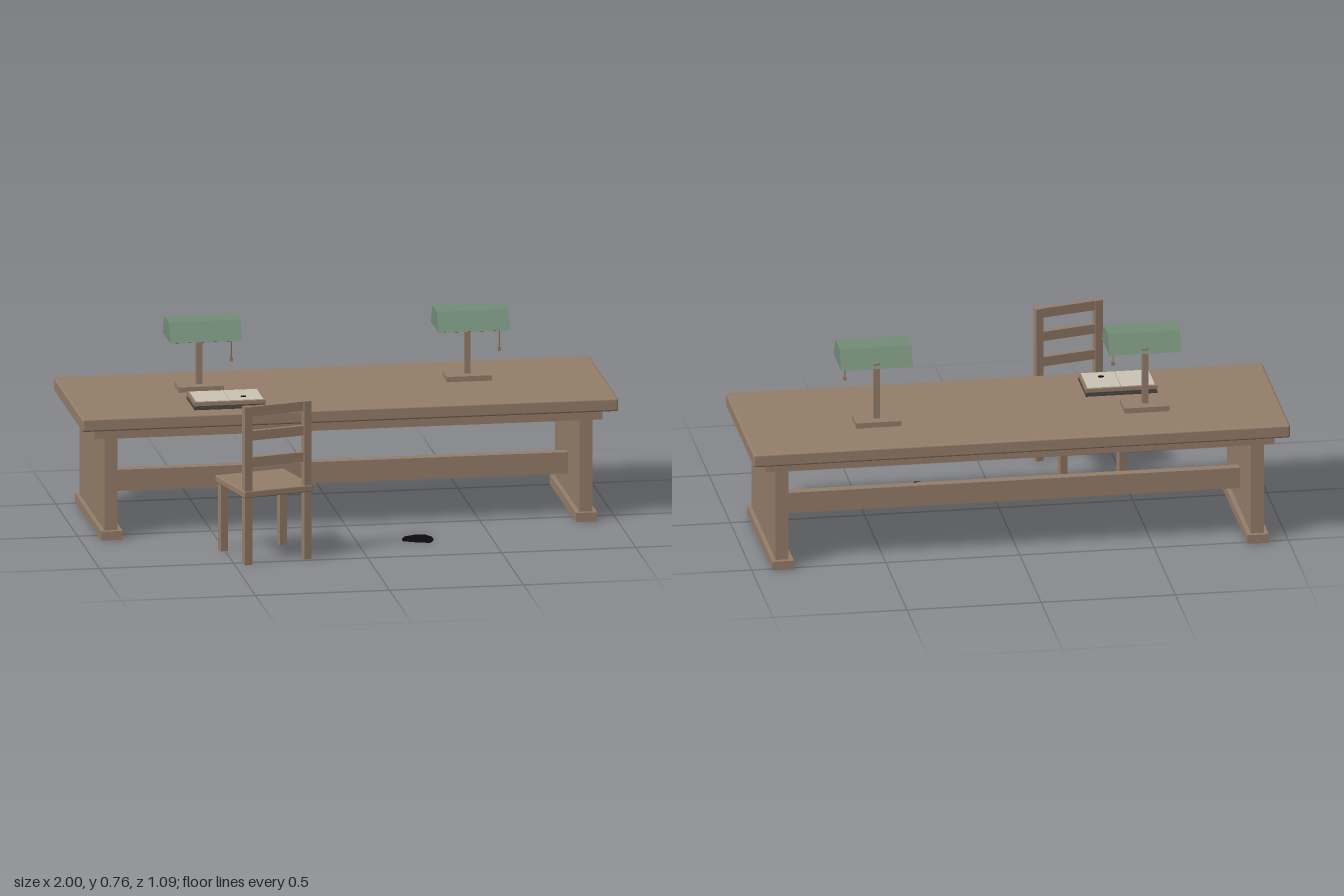
import * as THREE from 'three';
import { RoundedBoxGeometry } from 'three/addons/geometries/RoundedBoxGeometry.js';

function mat(name, color) {
  const m = new THREE.MeshStandardMaterial({ color });
  m.name = name;
  return m;
}

export function createModel() {
  const wood = mat('wood', 0x947d69);
  const green = mat('lampGreen', 0x728c76);
  const cream = mat('paper', 0xcbc4b5);
  const dark = mat('darkMetal', 0x4a4640);
  const black = mat('ink', 0x0a0a0a);

  const model = new THREE.Group();
  model.name = 'deskScene';

  const group = (name) => {
    const g = new THREE.Group();
    g.name = name;
    model.add(g);
    return g;
  };
  const add = (parent, name, geometry, material) => {
    const m = new THREE.Mesh(geometry, material);
    m.name = name;
    parent.add(m);
    return m;
  };
  // Box given by its lower and upper limits, with optional rounded edges
  const box = (parent, name, material, [x0, x1], [y0, y1], [z0, z1], r = 0) => {
    const s = [x1 - x0, y1 - y0, z1 - z0];
    const g = r ? new RoundedBoxGeometry(...s, 2, r) : new THREE.BoxGeometry(...s);
    const m = add(parent, name, g, material);
    m.position.set((x0 + x1) / 2, (y0 + y1) / 2, (z0 + z1) / 2);
    return m;
  };

  // Table
  const table = group('table');
  box(table, 'tableTop', wood, [-1, 1], [0.42, 0.47], [-0.55, 0.11], 0.008);
  box(table, 'apron', wood, [-0.948, 0.948], [0.381, 0.42], [-0.5, 0.065]);
  box(table, 'stretcher', wood, [-0.865, 0.865], [0.115, 0.195], [-0.238, -0.202]);
  for (const s of [-1, 1]) {
    const span = (a, b) => (s > 0 ? [a, b] : [-b, -a]);
    box(table, 'endPanel', wood, span(0.862, 0.91), [0.033, 0.381], [-0.5, 0.065]);
    box(table, 'foot', wood, span(0.845, 0.925), [0, 0.034], [-0.517, 0.082]);
  }

  // Desk lamps
  const profile = new THREE.Shape([
    [0.12, 0.687], [0.3, 0.687], [0.26, 0.757], [0.16, 0.757],
  ].map(([z, y]) => new THREE.Vector2(z, y)));
  for (const x of [-0.5, 0.5]) {
    const lamp = group('lamp');
    lamp.position.x = x;
    box(lamp, 'lampBase', wood, [-0.084, 0.084], [0.47, 0.49], [-0.335, -0.233]);
    box(lamp, 'lampPost', wood, [-0.011, 0.011], [0.49, 0.705], [-0.294, -0.273]);
    const shadeGeo = new THREE.ExtrudeGeometry(profile, { depth: 0.268, bevelEnabled: false });
    shadeGeo.translate(0, 0, -0.134);
    const shade = add(lamp, 'lampShade', shadeGeo, green);
    shade.rotation.y = Math.PI / 2;
    // the profile runs backwards from the front edge
    shade.position.z = 0;
    box(lamp, 'lightBar', dark, [-0.108, 0.104], [0.679, 0.688], [-0.266, -0.15]);
    const cord = add(lamp, 'pullCord', new THREE.CylinderGeometry(0.0025, 0.0025, 0.07, 6), wood);
    cord.position.set(0.1, 0.647, -0.166);
    box(lamp, 'pullKnob', wood, [0.094, 0.106], [0.6, 0.614], [-0.172, -0.16]);
  }

  // Open book with an ink spot
  const book = group('book');
  box(book, 'bookCover', dark, [-0.57, -0.303], [0.47, 0.478], [-0.14, 0.04]);
  box(book, 'bookBinding', dark, [-0.566, -0.307], [0.478, 0.484], [-0.137, 0.036]);
  box(book, 'pageBlock', wood, [-0.57, -0.303], [0.484, 0.498], [-0.135, 0.036]);
  box(book, 'leftPage', cream, [-0.435, -0.311], [0.498, 0.5], [-0.128, 0.028]);
  box(book, 'rightPage', cream, [-0.562, -0.437], [0.498, 0.5], [-0.128, 0.028]);
  const spot = add(book, 'inkSpot', new THREE.CylinderGeometry(0.011, 0.011, 0.002, 7), black);
  spot.position.set(-0.378, 0.501, -0.02);

  // Chair, turned slightly, with its back away from the table
  const chair = group('chair');
  chair.position.set(-0.366, 0, 0.377);
  chair.rotation.y = 0.236;
  box(chair, 'seat', wood, [-0.138, 0.138], [0.253, 0.281], [-0.138, 0.138], 0.006);
  for (const x of [-0.118, 0.118]) {
    const w = [x - 0.0145, x + 0.0145];
    box(chair, 'frontLeg', wood, w, [0, 0.256], [-0.124, -0.095]);
    box(chair, 'backPost', wood, w, [0, 0.598], [0.107, 0.136]);
  }
  for (const y of [0.387, 0.487, 0.579]) {
    box(chair, 'backSlat', wood, [-0.106, 0.106], [y - 0.018, y + 0.018], [0.112, 0.13]);
  }

  // Ink puddle on the floor
  const puddle = new THREE.Shape([
    [0.17, 0.245], [0.185, 0.21], [0.23, 0.187], [0.265, 0.192], [0.285, 0.23],
    [0.283, 0.275], [0.265, 0.31], [0.22, 0.297], [0.17, 0.27],
  ].map(([x, z]) => new THREE.Vector2(x, -z)));
  const puddleGeo = new THREE.ExtrudeGeometry(puddle, { depth: 0.003, bevelEnabled: false });
  puddleGeo.rotateX(-Math.PI / 2);
  add(model, 'inkPuddle', puddleGeo, black);

  return model;
}
